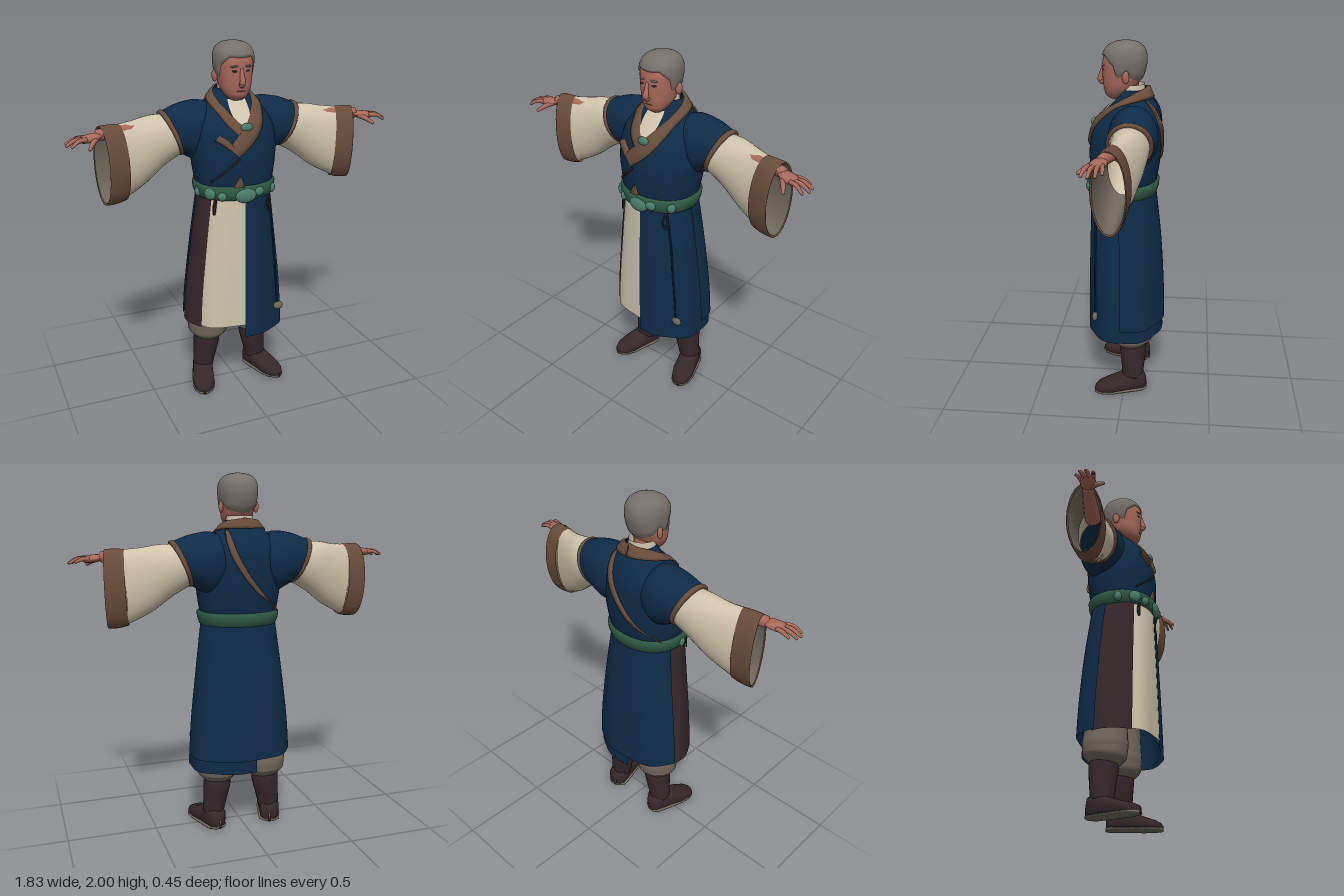
import * as THREE from 'three';

const V = (x, y, z) => new THREE.Vector3(x, y, z);
const mat = (name, color) => Object.assign(
  new THREE.MeshStandardMaterial({ color, side: THREE.DoubleSide }), { name });
const M = {
  blue: mat('navy cloth', 0x0d2b47), cream: mat('cream linen', 0xcfc4ab),
  skin: mat('skin', 0xa8695a), hair: mat('grey hair', 0x77716b),
  brown: mat('brown trim', 0x684c3a), dark: mat('dark leather', 0x34272a),
  taupe: mat('taupe cloth', 0x70675c), green: mat('green sash', 0x2f5a45),
  jade: mat('jade', 0x4a7e6c),
};

function add(parent, name, geo, material) {
  const m = new THREE.Mesh(geo, material);
  m.name = name;
  parent.add(m);
  return m;
}

// Smooth surface through rows of points; closed joins the last column to the first
function surface(rows, closed = true) {
  const n = rows[0].length, index = [];
  for (let i = 0; i < rows.length - 1; i++) {
    for (let j = 0; j < (closed ? n : n - 1); j++) {
      const k = (j + 1) % n, a = i * n + j, b = i * n + k;
      index.push(a, b, b + n, a, b + n, a + n);
    }
  }
  const g = new THREE.BufferGeometry().setFromPoints(rows.flat());
  g.setIndex(index);
  g.computeVertexNormals();
  return g;
}
const range = (n, f) => Array.from({ length: n + 1 }, (_, i) => f(i / n));
const ring = (n, f) => Array.from({ length: n }, (_, i) => f(i / n * Math.PI * 2));

// Rows of [key, values...] become a smooth function of the key
function spline(rows, Type = THREE.CubicInterpolant) {
  const k = rows[0].length - 1;
  const s = new Type(rows.map(r => r[0]), rows.flatMap(r => r.slice(1)), k, new Array(k));
  return t => Array.from(s.evaluate(t));
}

// Body from rows of [y, halfWidth, zBack, zFront]; angle 0 faces the front
function body(rows, n = 2) {
  const f = spline(rows);
  const pw = v => Math.sign(v) * Math.abs(v) ** (2 / n);
  const at = (y, a, off = 0) => {
    const [hx, zb, zf] = f(y);
    return V(pw(Math.sin(a)) * (hx + off), y, (zb + zf) / 2 + pw(Math.cos(a)) * ((zf - zb) / 2 + off));
  };
  // Move a point onto the surface, lifted by off
  const snap = (p, off) => {
    const [hx, zb, zf] = f(p.y), zc = (zb + zf) / 2, hz = (zf - zb) / 2, dz = p.z - zc;
    const r = ((Math.abs(p.x) / hx) ** n + (Math.abs(dz) / hz) ** n) ** (1 / n);
    const len = Math.hypot(p.x, dz), k = 1 / r + off / len;
    return V(p.x * k, p.y, zc + dz * k);
  };
  const shell = (y0, y1, steps = 24, off = 0) =>
    surface(range(steps, t => ring(40, a => at(y0 + (y1 - y0) * t, a, off))));
  return { at, snap, shell };
}

// Rounded limb along points [x, y, z, radius]
function limb(pts, steps = 14, sides = 14) {
  const c = new THREE.CatmullRomCurve3(pts.map(p => V(...p)));
  const rad = spline(pts.map((p, i) => [i / (pts.length - 1), p[3]]), THREE.LinearInterpolant);
  const rows = range(steps, t => {
    const p = c.getPoint(t), T = c.getTangent(t), r = rad(t)[0];
    const u = (Math.abs(T.y) > 0.8 ? V(1, 0, 0) : V(0, 1, 0)).cross(T).normalize();
    const v = T.clone().cross(u);
    return ring(sides, a => p.clone().addScaledVector(u, Math.cos(a) * r).addScaledVector(v, Math.sin(a) * r));
  });
  const cap = (t, s) => ring(sides, () => c.getPoint(t).addScaledVector(c.getTangent(t), s * rad(t)[0] * 0.5));
  return surface([cap(0, -1), ...rows, cap(1, 1)]);
}

// Tube of cloth from rows of [topX, topY, bottomX, bottomY, zCentre, halfDepth]
function sleeve(rows, steps = 16, skew = 0) {
  const f = spline(rows.map((r, i) => [i, ...r]));
  return surface(range(steps, t => {
    const [tx, ty, bx, by, zc, hz] = f(t * (rows.length - 1));
    return ring(32, a => {
      const c = Math.cos(a) / 2, s = Math.sin(a);
      return V((tx + bx) / 2 + c * (tx - bx) - s * skew, (ty + by) / 2 + c * (ty - by), zc + s * hz);
    });
  }));
}

function ball(parent, name, material, p, s) {
  const m = add(parent, name, new THREE.SphereGeometry(1, 20, 14), material);
  m.position.set(...p);
  m.scale.set(...s);
  return m;
}

function buildHead(g) {
  const head = body([[1.695, .03, .03, .085], [1.71, .05, .01, .108], [1.75, .078, -.04, .122],
    [1.8, .09, -.075, .128], [1.86, .097, -.095, .13], [1.9, .099, -.098, .128],
    [1.94, .092, -.09, .115], [1.97, .07, -.065, .085], [1.985, .035, -.03, .045], [1.99, .002, .005, .01]], 2.2);
  add(g, 'head', head.shell(1.695, 1.99, 32), M.skin);
  add(g, 'neck', limb([[0, 1.6, -.02, .07], [0, 1.68, -.008, .062], [0, 1.78, 0, .062]]), M.skin);
  add(g, 'nose', limb([[0, 1.866, .125, .008], [0, 1.825, .136, .012], [0, 1.793, .141, .017], [0, 1.776, .126, .014]]), M.skin);
  // Cropped hair with a hairline that drops behind the temples
  const low = spline([[0, 1.915], [.6, 1.92], [.95, 1.89], [1.2, 1.87], [1.35, 1.81], [1.55, 1.81],
    [1.75, 1.84], [2.1, 1.8], [3.2, 1.775]], THREE.LinearInterpolant);
  add(g, 'hair', surface(range(14, t => ring(64, a => {
    const y0 = low(Math.min(a, Math.PI * 2 - a))[0];
    const p = head.at(y0 + (1.99 - y0) * Math.sin(t * Math.PI / 2), a, t === 0 ? -.004 : .005 + .008 * Math.sqrt(t));
    if (t === 1) p.set(0, 1.99, .007);
    return p.setY(p.y + .01 * t);
  }))), M.hair);
  for (const s of [-1, 1]) {
    ball(g, 'ear', M.skin, [s * .1, 1.82, -.002], [.012, .033, .02]).rotation.y = s * -.3;
    const e = head.at(1.852, s * .36), b = head.at(1.876, s * .38);
    ball(g, 'eye', M.dark, [e.x, e.y, e.z - .001], [.013, .005, .005]).rotation.y = s * .35;
    const brow = ball(g, 'eyebrow', M.hair, [b.x, b.y, b.z], [.021, .005, .006]);
    brow.rotation.set(0, s * .35, s * -.1);
  }
  ball(g, 'mouth', M.brown, [0, 1.748, .121], [.024, .003, .004]);
}

function buildTunic(g) {
  const torso = body([[1.18, .2, -.15, .19], [1.3, .225, -.175, .2], [1.45, .238, -.19, .2],
    [1.58, .22, -.187, .16], [1.66, .17, -.16, .09], [1.7, .125, -.138, .052], [1.75, .085, -.112, .03]], 2.2);
  add(g, 'tunicBody', torso.shell(1.18, 1.75), M.blue);
  // Cloth strip lying on the torso between two edge paths
  const strip = (name, A, B, m, lift = .014) => {
    const a = new THREE.CatmullRomCurve3(A.map(p => V(...p))), b = new THREE.CatmullRomCurve3(B.map(p => V(...p)));
    const across = [[0, -.004], [0, lift], [.33, lift], [.67, lift], [1, lift], [1, -.004]];
    add(g, name, surface(range(28, t => across.map(([v, off]) =>
      torso.snap(a.getPoint(t).lerp(b.getPoint(t), v), off))), false), m);
  };
  const strap = (name, path, dx, dy, m, lift) => strip(name,
    path.map(([x, y, z]) => [x + dx, y + dy, z]), path.map(([x, y, z]) => [x - dx, y - dy, z]), m, lift);

  // Undershirt at the throat, then the crossed collar
  add(g, 'undershirtFront', surface(range(12, t => range(10, u =>
    torso.snap(V((u * 2 - 1) * .09 * t ** .8, 1.55 + .15 * t, .13), .006))), false), M.cream);
  add(g, 'undershirtCollar', surface(range(3, t => range(30, u => {
    const a = .75 + u * (Math.PI * 2 - 1.5);
    return V(Math.sin(a) * (.078 - .006 * t), 1.69 + .085 * t - .05 * (1 - t) * Math.max(0, Math.cos(a)), -.022 + Math.cos(a) * (.078 - .004 * t));
  }), false), false), M.cream);
  strip('rightCollar',
    [[0, 1.765, -.095], [-.075, 1.74, -.05], [-.088, 1.69, .03], [-.048, 1.62, .125], [.005, 1.56, .155]],
    [[0, 1.71, -.15], [-.115, 1.705, -.08], [-.135, 1.672, .03], [-.11, 1.6, .15], [-.04, 1.53, .18]], M.brown, .011);
  strip('leftCollar',
    [[0, 1.765, -.095], [.075, 1.74, -.05], [.088, 1.69, .03], [.045, 1.62, .125], [-.02, 1.545, .17], [-.1, 1.47, .2]],
    [[0, 1.71, -.15], [.115, 1.705, -.08], [.135, 1.672, .03], [.115, 1.59, .15], [.035, 1.49, .19], [-.045, 1.42, .2]], M.brown, .016);
  strap('backStrap', [[.1, 1.71, -.1], [.1, 1.64, -.16], [.04, 1.5, -.19], [-.06, 1.37, -.18], [-.19, 1.25, -.08]],
    .027, .012, M.brown, .012);
  strap('frontSeam', [[-.17, 1.28, .13], [-.1, 1.35, .18], [-.04, 1.41, .2]], .004, -.004, M.dark, .006);
  strap('frontTab', [[-.14, 1.52, .15], [-.11, 1.5, .17], [-.08, 1.47, .19]], .009, .012, M.brown, .02);
  strip('lowerFold', [[-.035, 1.315, .2], [-.055, 1.28, .2], [-.075, 1.25, .2]],
    [[-.03, 1.31, .2], [-.02, 1.28, .2], [-.015, 1.25, .2]], M.brown, .008);
  ball(g, 'brooch', M.jade, [.01, 1.567, .178], [.034, .024, .016]);

  // Sash and its jade ornaments
  const rim = [[1.175, 0], [1.183, .016], [1.215, .02], [1.247, .016], [1.256, 0]];
  add(g, 'sash', surface(rim.map(([y, o]) => ring(48, a => torso.at(y, a, o)))), M.green);
  for (const [a, y, w, h] of [[-.95, 1.215, .035, .034], [-.6, 1.205, .025, .025], [-.02, 1.205, .06, .04],
    [.3, 1.22, .03, .026], [.85, 1.215, .024, .028], [-1.45, 1.21, .022, .028]]) {
    const p = torso.at(y, a, .016);
    ball(g, 'sashOrnament', M.jade, [p.x, p.y, p.z], [w, h, .018]).rotation.y = a;
  }
}

function buildSkirt(g) {
  const skirt = body([[.36, .29, -.212, .215], [.6, .275, -.205, .212], [.9, .24, -.185, .205], [1.2, .2, -.15, .195]], 2.25);
  const panel = (name, from, to, hem, off, m) => add(g, name, surface(range(20, t => range(48, u => {
    const a = (from + (to - from) * u) * Math.PI / 180;
    return skirt.at(hem + (1.2 - hem) * t, a, off + .005 * (1 - t) * Math.sin(a * 7));
  })), false), m);
  panel('skirtFrontLeft', -1, 187, .355, 0, M.blue);
  panel('skirtBack', 88, 257, .43, .012, M.blue);
  panel('skirtSideLining', 250, 304, .425, .003, M.dark);
  panel('skirtFrontRight', 290, 360, .43, -.003, M.cream);
  // Hanging cords, loop and tassel
  const cord = pts => limb(pts.map(([x, y]) => {
    const p = skirt.snap(V(x, y, .17), .009);
    return [p.x, p.y, p.z, .005];
  }), 24, 8);
  add(g, 'leftCord', cord([[.16, 1.18], [.19, 1.0], [.21, .75], [.23, .5]]), M.blue);
  add(g, 'leftCordLoop', cord([[.15, 1.18], [.128, 1.12], [.145, 1.09], [.165, 1.12], [.16, 1.18]]), M.dark);
  add(g, 'rightCordLoop', cord([[-.19, 1.18], [-.205, 1.13], [-.19, 1.1], [-.175, 1.18]]), M.dark);
  const p = skirt.snap(V(.235, .49, .17), .014);
  ball(g, 'tassel', M.taupe, [p.x, p.y, p.z], [.03, .024, .016]);
}

function buildArm(g) {
  add(g, 'upperSleeve', sleeve([[.05, 1.62, .1, 1.42, -.05, .1], [.16, 1.688, .18, 1.36, -.05, .13],
    [.28, 1.68, .24, 1.38, -.05, .127], [.39, 1.64, .29, 1.41, -.045, .115]]), M.blue);
  add(g, 'upperSleeveTrim', sleeve([[.375, 1.647, .278, 1.402, -.046, .117], [.386, 1.65, .288, 1.4, -.045, .121],
    [.4, 1.643, .3, 1.404, -.045, .118], [.398, 1.628, .3, 1.42, -.045, .1]], 9), M.brown);
  add(g, 'wideSleeve', sleeve([[.35, 1.63, .27, 1.42, -.045, .105], [.46, 1.628, .39, 1.35, -.038, .1],
    [.55, 1.613, .5, 1.268, -.02, .093], [.65, 1.603, .63, 1.2, .008, .085]]), M.cream);
  add(g, 'cuff', sleeve([[.63, 1.606, .615, 1.198, .005, .088], [.68, 1.608, .665, 1.186, .012, .09],
    [.73, 1.606, .722, 1.184, .018, .09], [.73, 1.594, .722, 1.196, .018, .08]], 12, .022), M.brown);
  add(g, 'cuffLining', sleeve([[.5, 1.59, .47, 1.31, -.02, .07], [.62, 1.592, .61, 1.22, .005, .075],
    [.73, 1.594, .722, 1.196, .018, .08]], 10, .022), M.taupe);
  // Forearm and hand, palm down with the thumb forward
  add(g, 'forearm', limb([[.48, 1.56, -.02, .045], [.64, 1.565, .015, .036], [.75, 1.565, .04, .028]]), M.skin);
  const palm = add(g, 'palm', limb([[0, 0, 0, .026], [.035, 0, .002, .04], [.075, 0, .004, .042], [.1, 0, .004, .034]]), M.skin);
  palm.position.set(.735, 1.563, .04);
  palm.scale.y = .5;
  palm.rotation.set(0, -.22, -.12);
  for (const [x, z, tx, ty, tz] of [[.81, .03, .885, 1.54, .024], [.822, .05, .912, 1.535, .052],
    [.822, .072, .914, 1.532, .085], [.812, .09, .893, 1.53, .118]]) {
    add(g, 'finger', limb([[x, 1.557, z, .012], [(x + tx) / 2, 1.556, (z + tz) / 2, .011], [tx, ty, tz, .007]], 8, 10), M.skin);
  }
  add(g, 'thumb', limb([[.755, 1.556, .06, .016], [.785, 1.54, .105, .013], [.81, 1.518, .145, .008]], 8, 10), M.skin);
}

function buildLeg(g) {
  add(g, 'trouserLeg', limb([[.125, .75, -.03, .1], [.135, .5, -.04, .112], [.14, .38, -.045, .122],
    [.142, .32, -.045, .114], [.143, .285, -.048, .082]], 20, 24), M.taupe);
  add(g, 'bootShaft', limb([[.143, .33, -.048, .075], [.148, .25, -.05, .078], [.162, .15, -.05, .066],
    [.172, .08, -.05, .06]], 16, 24), M.dark);
  const foot = new THREE.Group();
  foot.name = 'foot';
  foot.position.set(.175, 0, -.05);
  foot.rotation.y = .3;
  g.add(foot);
  // Length position, half width, height
  const shape = [[-.082, .004, .05], [-.076, .032, .08], [-.055, .055, .115], [0, .06, .12], [.06, .06, .1],
    [.13, .063, .074], [.185, .052, .058], [.215, .03, .044], [.226, .004, .03]];
  const shoe = (grow, height) => surface(shape.map(([z, w, h]) => ring(24, a => {
    const top = height || h, c = Math.cos(a), s = Math.sin(a);
    return V(-(w + grow) * Math.sign(c) * Math.abs(c) ** .7, top / 2 + top / 2 * Math.sign(s) * Math.abs(s) ** .7, z * (1 + grow));
  })));
  add(foot, 'shoe', shoe(0, 0), M.dark);
  add(foot, 'sole', shoe(.004, .018), M.taupe);
}

export function createModel() {
  const model = new THREE.Group();
  model.name = 'robedMan';
  for (const [name, build] of [['headGroup', buildHead], ['tunic', buildTunic], ['skirt', buildSkirt]]) {
    const g = new THREE.Group();
    g.name = name;
    build(g);
    model.add(g);
  }
  // Limbs are made on the left and mirrored
  for (const [name, build] of [['Arm', buildArm], ['Leg', buildLeg]]) {
    const left = new THREE.Group();
    build(left);
    const right = left.clone();
    left.name = 'left' + name;
    right.name = 'right' + name;
    right.scale.x = -1;
    model.add(left, right);
  }
  return model;
}
